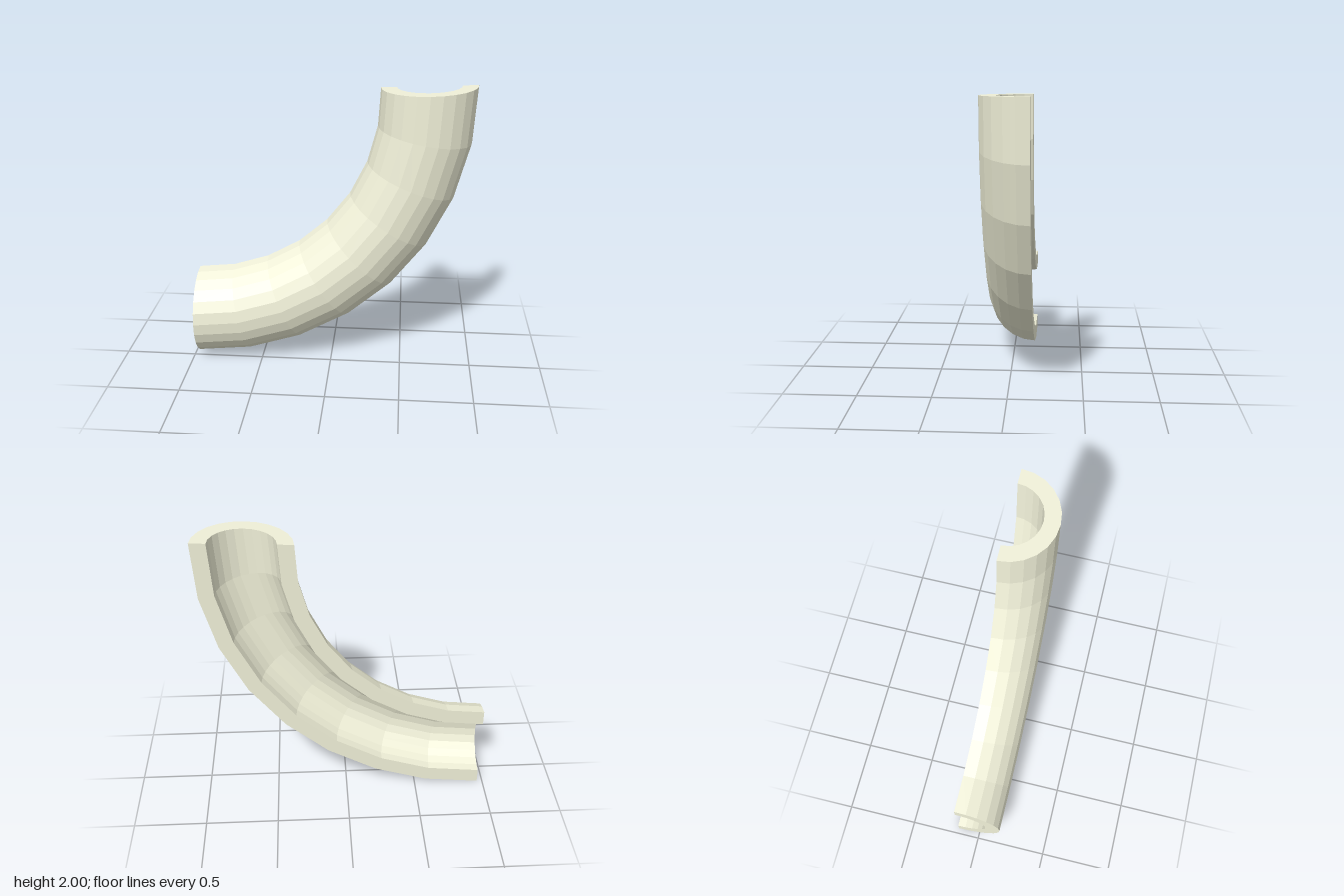
import * as THREE from 'three';

const OUTER = 0.32, BORE = 0.215;      // wall radii
const BEND = 1.6045;                   // radius of the bend's centreline
const CENTRE = [-0.9615, 1.9245];      // centre of the bend in x, y
const START = -Math.PI / 2, SWEEP = THREE.MathUtils.degToRad(92.25);
const STEPS = 8, SIDES = 12;

// Closed C-shaped section as [radial, z]: outer half circle, then the bore back again
function halfPipeSection() {
  const arc = (r) => Array.from({ length: SIDES + 1 }, (_, i) => {
    const a = (i / SIDES) * Math.PI;
    return [BEND + r * Math.cos(a), -OUTER / 2 + r * Math.sin(a)];
  });
  return [...arc(OUTER), ...arc(BORE).reverse()];
}

function sweptHalfPipe() {
  const section = halfPipeSection();
  const n = section.length;
  const positions = [];
  const point = (step, i) => {
    const [r, z] = section[i % n];
    const a = START + (step / STEPS) * SWEEP;
    return [CENTRE[0] + r * Math.cos(a), CENTRE[1] + r * Math.sin(a), z];
  };
  const quad = (a, b, c, d) => positions.push(...a, ...b, ...c, ...a, ...c, ...d);

  // Outer wall, bore and the two flat cut edges
  for (let s = 0; s < STEPS; s++) {
    for (let i = 0; i < n; i++) {
      quad(point(s, i), point(s + 1, i), point(s + 1, i + 1), point(s, i + 1));
    }
  }
  // C-shaped end faces
  for (let i = 0; i < SIDES; i++) {
    const ring = [i, i + 1, n - 2 - i, n - 1 - i];
    quad(...ring.map((k) => point(0, k)));
    quad(...ring.reverse().map((k) => point(STEPS, k)));
  }

  const geometry = new THREE.BufferGeometry();
  geometry.setAttribute('position', new THREE.Float32BufferAttribute(positions, 3));
  geometry.computeVertexNormals();
  return geometry;
}

export function createModel() {
  const group = new THREE.Group();
  group.name = 'halfPipeElbow';
  const material = new THREE.MeshStandardMaterial({ color: 0xf0f0d8, flatShading: true });
  const pipe = new THREE.Mesh(sweptHalfPipe(), material);
  pipe.name = 'curvedHalfPipe';
  group.add(pipe);
  return group;
}
